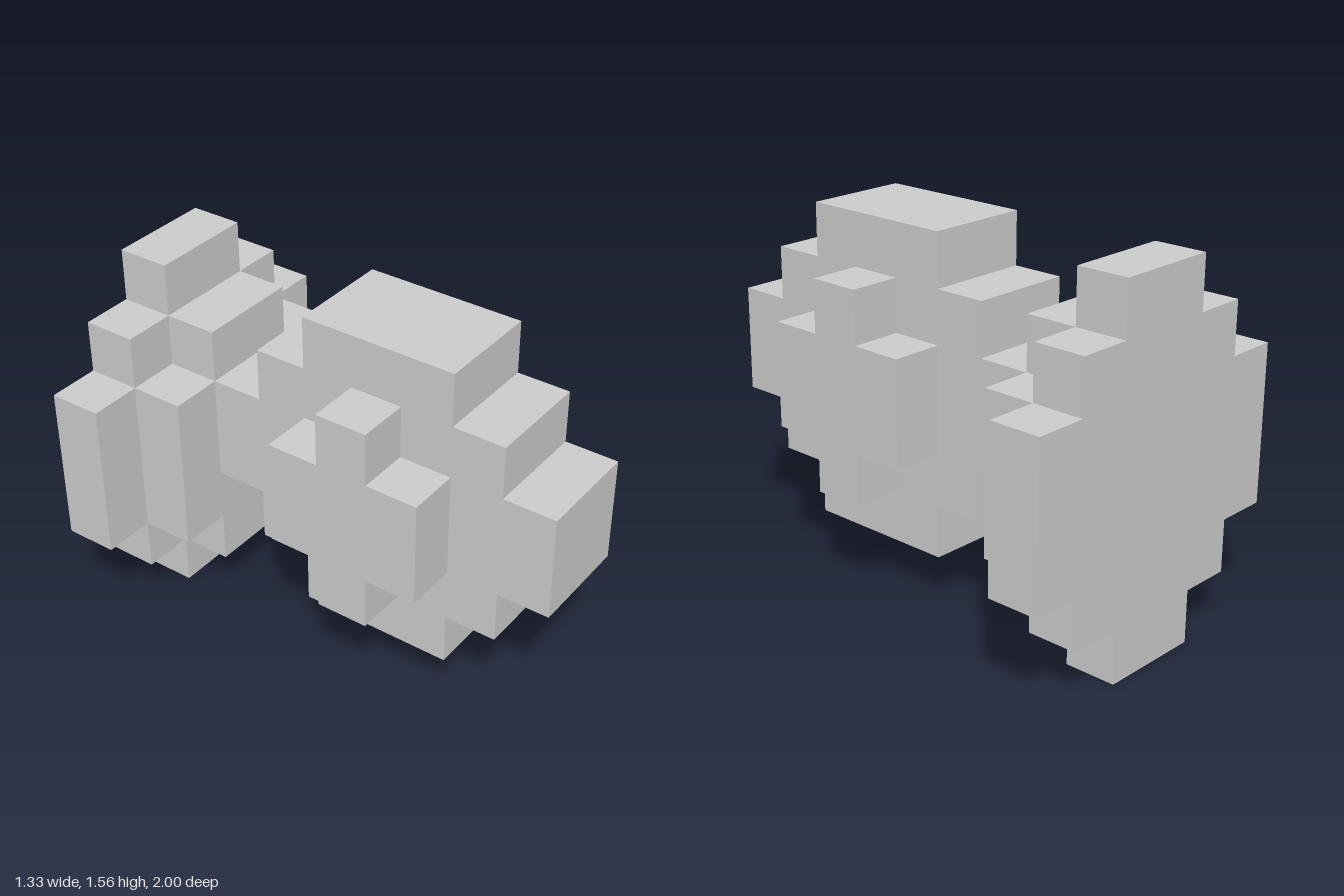
import * as THREE from 'three';

const U = 2 / 9; // one block

// Symmetric stepped slab; steps are [halfWidth, bottom, top], widest first, in blocks.
function steppedSlab(steps, depth) {
  const side = [];
  const last = steps.length - 1;
  for (let i = last; i >= 0; i--) {
    const [w, y0] = steps[i];
    side.push([w, y0]);
    if (i > 0) side.push([w, steps[i - 1][1]]);
  }
  steps.forEach(([w, , y1], i) => {
    side.push([w, y1]);
    if (i < last) side.push([steps[i + 1][0], y1]);
  });
  const outline = [...side, ...side.slice().reverse().map(([x, y]) => [-x, y])];
  const shape = new THREE.Shape(outline.map(([x, y]) => new THREE.Vector2(x * U, y * U)));
  return new THREE.ExtrudeGeometry(shape, { depth: depth * U, bevelEnabled: false });
}

export function createModel() {
  const group = new THREE.Group();
  const material = new THREE.MeshStandardMaterial({ color: 0xcccccc, flatShading: true });
  const add = (name, geometry, x, z) => {
    const mesh = new THREE.Mesh(geometry, material);
    mesh.name = name;
    mesh.position.set(x * U, 0, z * U);
    group.add(mesh);
  };

  // Upright plates at the back
  add('backPlate', steppedSlab([[3, 2, 5], [2, 1, 6], [1, 0, 7]], 1), 0, -4.5);
  add('innerPlate', steppedSlab([[2, 2, 5], [1, 1, 6]], 1), 0, -3.5);

  // Stepped body, its rear end reaching back to the inner plate
  const body = steppedSlab([[3.5, 3, 5], [2.5, 2, 6], [1.5, 1, 7]], 2).rotateY(Math.PI / 2);
  add('body', body, -1, 1);

  // Cross-shaped pads on both flanks
  const pad = steppedSlab([[1.5, 3, 5], [0.5, 2, 6]], 1).rotateY(Math.PI / 2);
  add('leftPad', pad, 1, 1);
  add('rightPad', pad, -2, 1);

  return group;
}
